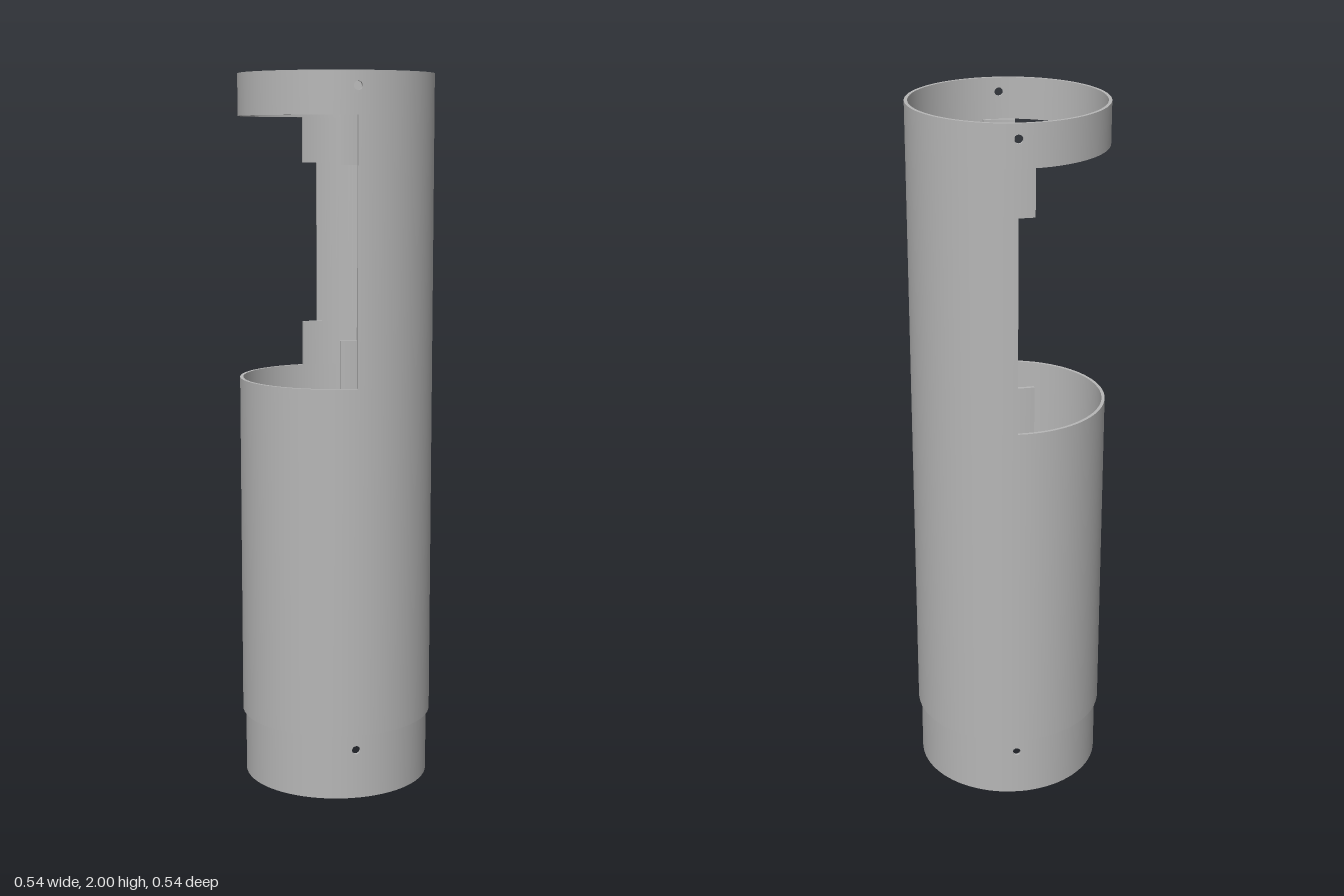
import * as THREE from 'three';

const OUTER = 0.272, INNER = 0.263, CORE = 0.254;
const SILL = 1.16, LINTEL = 1.885, STEP = 0.185, HOLE = 0.012;

// Wrap a flat plate (x = arc length, z = 0..thickness) around the y axis.
function bend(geo, ri, ro) {
  const p = geo.attributes.position, n = geo.attributes.normal;
  for (let i = 0; i < p.count; i++) {
    const a = p.getX(i) / ro, r = ri + p.getZ(i), s = Math.sin(a), c = Math.cos(a);
    p.setXYZ(i, r * s, p.getY(i), r * c);
    const nx = n.getX(i), nz = n.getZ(i);
    n.setXYZ(i, nx * c + nz * s, n.getY(i), -nx * s + nz * c);
  }
  return geo;
}

// Curved wall from angle a0 to a1 (0 = front, positive toward +x).
function wall(a0, a1, y0, y1, ri, ro) {
  const w = (a1 - a0) * ro, t = ro - ri;
  const seg = Math.max(2, Math.ceil((a1 - a0) / (Math.PI / 48)));
  const geo = new THREE.BoxGeometry(w, y1 - y0, t, seg, 1, 1);
  geo.translate((a0 + a1) / 2 * ro, (y0 + y1) / 2, t / 2);
  return bend(geo, ri, ro);
}

// Narrow wall patch pierced by a round hole.
function piercedWall(a, half, y0, y1, holeY, ri, ro) {
  const w = half * ro;
  const shape = new THREE.Shape();
  shape.moveTo(-w, y0).lineTo(w, y0).lineTo(w, y1).lineTo(-w, y1).closePath();
  const hole = new THREE.Path();
  hole.absarc(0, holeY, HOLE, 0, Math.PI * 2, true);
  shape.holes.push(hole);
  const geo = new THREE.ExtrudeGeometry(shape, { depth: ro - ri, bevelEnabled: false, curveSegments: 8 });
  geo.translate(a * ro, 0, 0);
  return bend(geo, ri, ro);
}

// Screw block with a hole along x, its outer side following the tube wall.
function screwBlock(side, y0, y1) {
  const u0 = -side * 0.185, u1 = -side * 0.23;
  const shape = new THREE.Shape();
  shape.moveTo(u0, y0).lineTo(u1, y0).lineTo(u1, y1).lineTo(u0, y1).closePath();
  const hole = new THREE.Path();
  hole.absarc(-side * 0.201, (y0 + y1) / 2, 0.01, 0, Math.PI * 2, true);
  shape.holes.push(hole);
  const geo = new THREE.ExtrudeGeometry(shape, { depth: 0.045, bevelEnabled: false, curveSegments: 8 });
  geo.rotateY(Math.PI / 2).translate(0.115, 0, 0);
  const p = geo.attributes.position;
  for (let i = 0; i < p.count; i++) {
    if (Math.abs(p.getZ(i)) > 0.22) p.setZ(i, side * Math.sqrt(0.267 ** 2 - p.getX(i) ** 2));
  }
  geo.computeVertexNormals();
  return geo;
}

export function createModel() {
  const model = new THREE.Group();
  model.name = 'tubeBody';
  const grey = new THREE.MeshStandardMaterial({ color: 0xb6b6b6 });
  grey.name = 'grey';
  const add = (name, geo) => {
    const mesh = new THREE.Mesh(geo, grey);
    mesh.name = name;
    model.add(mesh);
    return mesh;
  };

  // Main tube: full lower part, half shell beside the window
  add('lowerTube', wall(-Math.PI, Math.PI, STEP, SILL, INNER, OUTER));
  add('windowBackShell', wall(0, Math.PI, SILL, LINTEL, INNER, OUTER));

  // Rings with a pin hole at front and back
  const half = 0.065;
  const ring = (name, y0, y1, holeY, ri, ro) => {
    for (const a of [0, Math.PI]) {
      add(name + 'Pierced', piercedWall(a, half, y0, y1, holeY, ri, ro));
      add(name + 'Side', wall(a + half, a + Math.PI - half, y0, y1, ri, ro));
    }
  };
  ring('topRing', LINTEL, 2, 1.96, INNER, OUTER);
  ring('coupler', 0, 0.3, 0.14, CORE, INNER);

  // Inner floors
  for (const [name, y] of [['couplerFloor', 0.285], ['bayFloor', 0.905]]) {
    add(name, new THREE.CylinderGeometry(INNER, INNER, 0.03, 96)).position.y = y;
  }

  // Cover tabs at the window corners and screw blocks behind them
  const tab = 0.172;
  for (const [y0, y1] of [[SILL, 1.29], [1.755, LINTEL]]) {
    for (const a of [0, Math.PI]) {
      add('coverTab', wall(a - tab, a + tab, y0, y1, CORE, INNER));
    }
  }
  for (const [y0, y1] of [[1.18, 1.27], [1.77, 1.86]]) {
    for (const side of [-1, 1]) add('screwBlock', screwBlock(side, y0, y1));
  }
  return model;
}
